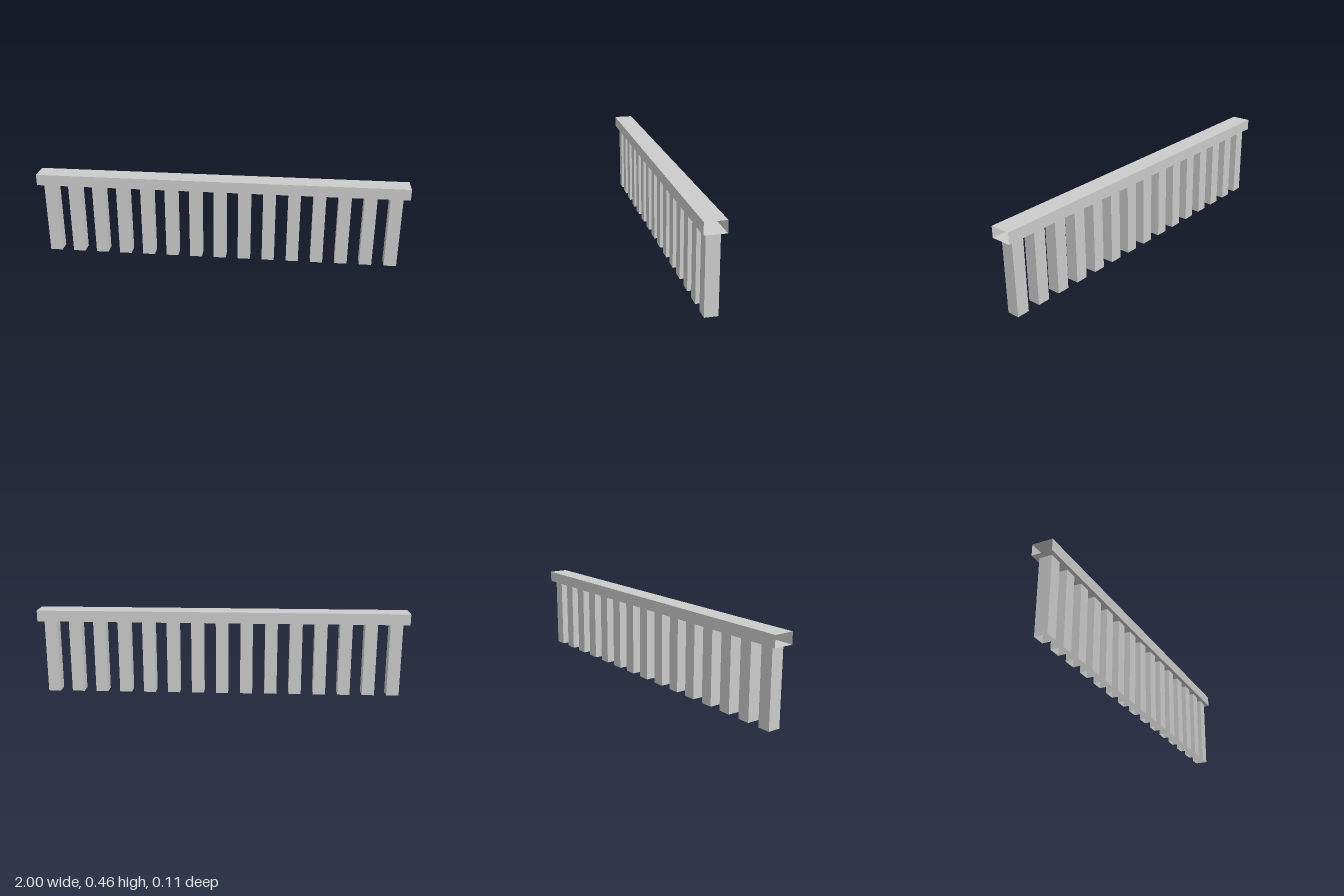
import * as THREE from 'three';

const material = new THREE.MeshStandardMaterial({
  color: 0xcccccc, flatShading: true, side: THREE.DoubleSide,
});

// Rectangular tube along y, open at both ends
function openTube(width, height, depth) {
  return new THREE.CylinderGeometry(Math.SQRT1_2, Math.SQRT1_2, 1, 4, 1, true)
    .rotateY(Math.PI / 4)
    .scale(width, height, depth);
}

export function createModel() {
  const group = new THREE.Group();
  group.name = 'balustrade';

  const postCount = 15, spacing = 2 / 15, postSize = 0.067, postHeight = 0.4;
  const railHeight = 0.06, railDepth = 0.107;

  // Hollow top rail with open ends
  const rail = new THREE.Mesh(
    openTube(railHeight, 2, railDepth).rotateZ(Math.PI / 2), material);
  rail.name = 'topRail';
  rail.position.y = postHeight + railHeight / 2;
  group.add(rail);

  // Evenly spaced hollow posts
  const postGeometry = openTube(postSize, postHeight, postSize);
  for (let i = 0; i < postCount; i++) {
    const post = new THREE.Mesh(postGeometry, material);
    post.name = `post${i + 1}`;
    post.position.set((i - (postCount - 1) / 2) * spacing, postHeight / 2, 0);
    group.add(post);
  }
  return group;
}
